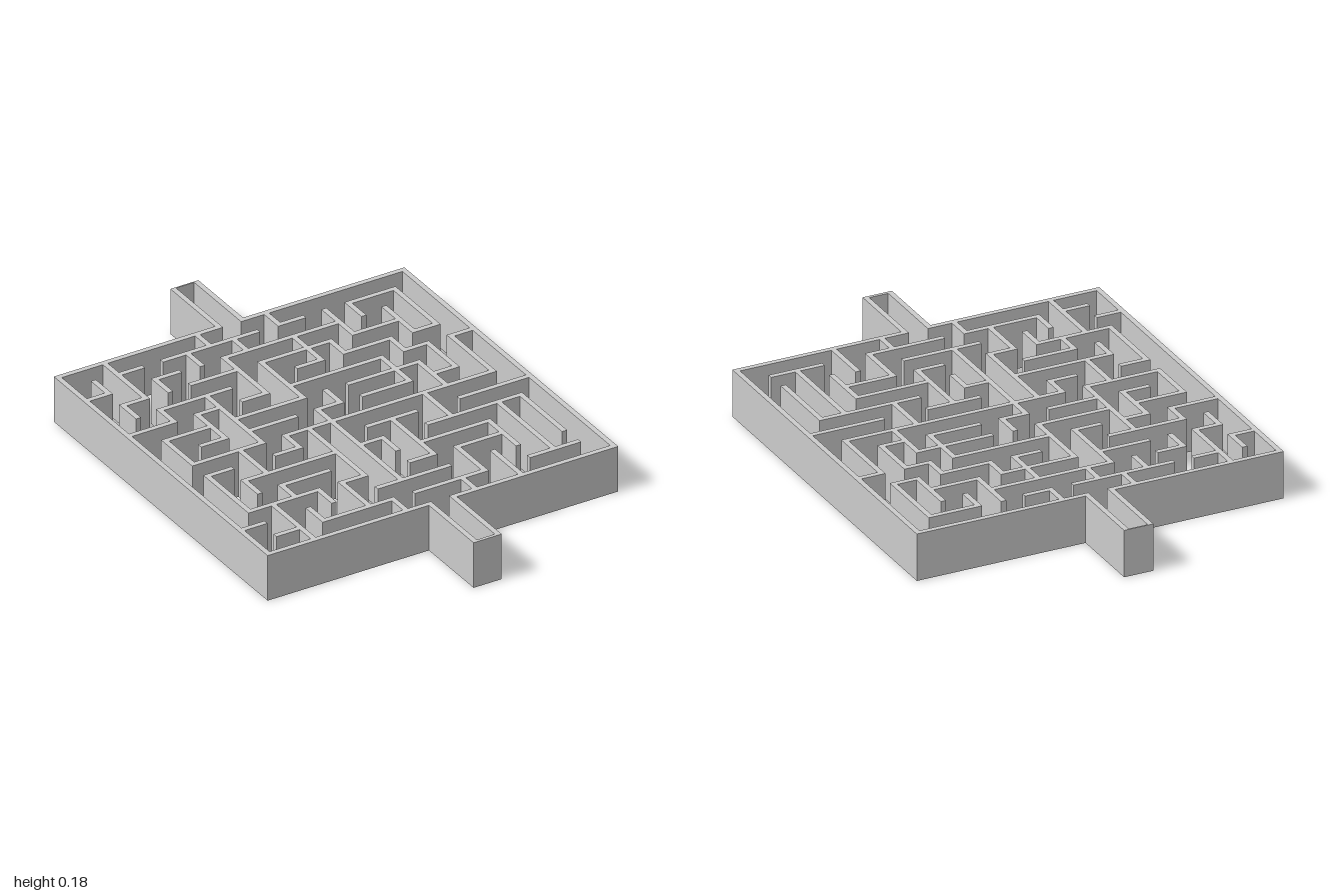
import * as THREE from 'three';

const CELLS = 15, PITCH = 0.0927, T = 0.02, H = 0.18;
const at = (i) => (i - CELLS / 2) * PITCH; // grid line -> coordinate

// Inner walls running along x: one entry per row line 1..14, [from, to] in column lines
const ROWS = [
  [[2, 3], [4, 8], [9, 10], [12, 14]],
  [[0, 1], [3, 4], [6, 11]],
  [[1, 2], [4, 6], [7, 10], [11, 13]],
  [[2, 5], [8, 9], [10, 12], [13, 14]],
  [[0, 2], [3, 4], [5, 6], [7, 11], [12, 13], [14, 15]],
  [[1, 3], [4, 7], [9, 12]],
  [[2, 3], [4, 6], [7, 8], [9, 11], [12, 13]],
  [[1, 4], [5, 14]],
  [[1, 2], [4, 5], [8, 10], [12, 15]],
  [[2, 6], [7, 8], [10, 14]],
  [[3, 5], [9, 12]],
  [[1, 4], [5, 6], [8, 9], [10, 12]],
  [[0, 1], [6, 9]],
  [[1, 2], [3, 6], [7, 10], [12, 14]],
];
// Inner walls running along z: one entry per column line 1..14, [from, to] in row lines
const COLUMNS = [
  [[1, 2], [3, 4], [6, 8], [9, 12]],
  [[0, 3], [4, 5], [10, 11], [12, 15]],
  [[2, 3], [5, 7], [8, 10], [11, 12], [13, 14]],
  [[4, 8], [12, 13]],
  [[1, 2], [8, 9], [12, 14]],
  [[0, 1], [2, 5], [8, 12], [14, 15]],
  [[1, 2], [3, 6], [7, 13]],
  [[6, 7], [10, 11]],
  [[0, 1], [2, 4], [9, 12], [14, 15]],
  [[3, 4], [12, 14]],
  [[1, 3], [5, 7], [8, 10], [13, 15]],
  [[1, 2], [4, 5], [6, 8], [11, 13]],
  [[2, 4], [5, 7], [10, 14]],
  [[1, 4], [5, 8], [10, 13]],
];

export function createModel() {
  const model = new THREE.Group();
  model.name = 'maze';
  const material = new THREE.MeshStandardMaterial({ color: 0xcccccc, flatShading: true });

  // Upright wall filling a rectangle on the ground
  const wall = (parent, name, x0, x1, z0, z1) => {
    const mesh = new THREE.Mesh(new THREE.BoxGeometry(x1 - x0, H, z1 - z0), material);
    mesh.position.set((x0 + x1) / 2, H / 2, (z0 + z1) / 2);
    mesh.name = name;
    parent.add(mesh);
  };
  const h = T / 2;
  const alongX = (parent, name, row, a, b) =>
    wall(parent, name, at(a) - h, at(b) + h, at(row) - h, at(row) + h);
  const alongZ = (parent, name, col, a, b) =>
    wall(parent, name, at(col) - h, at(col) + h, at(a) - h, at(b) + h);
  const group = (name) => {
    const g = new THREE.Group();
    g.name = name;
    model.add(g);
    return g;
  };

  // Outer enclosure with an opening at the middle of front and back
  const outer = group('outerWalls');
  for (const [row, name] of [[0, 'backWall'], [CELLS, 'frontWall']]) {
    alongX(outer, name, row, 0, 7);
    alongX(outer, name, row, 8, CELLS);
  }
  alongZ(outer, 'rightWall', 0, 0, CELLS);
  alongZ(outer, 'leftWall', CELLS, 0, CELLS);

  // Inner partitions
  const inner = group('innerWalls');
  ROWS.forEach((runs, i) => runs.forEach(([a, b]) => alongX(inner, 'crossPartition', i + 1, a, b)));
  COLUMNS.forEach((runs, i) => runs.forEach(([a, b]) => alongZ(inner, 'lengthPartition', i + 1, a, b)));

  // Entrance and exit corridors, each closed by a thin end wall
  const edge = at(CELLS) - h;
  for (const [side, name, end] of [[1, 'frontCorridor', 0.012], [-1, 'backCorridor', 0.005]]) {
    const corridor = group(name);
    const span = (a, b) => (side > 0 ? [a, b] : [-b, -a]);
    for (const col of [7, 8])
      wall(corridor, 'corridorSide', at(col) - h, at(col) + h, ...span(edge, 1));
    wall(corridor, 'corridorEnd', at(7) - h, at(8) + h, ...span(1 - end, 1));
  }
  return model;
}
